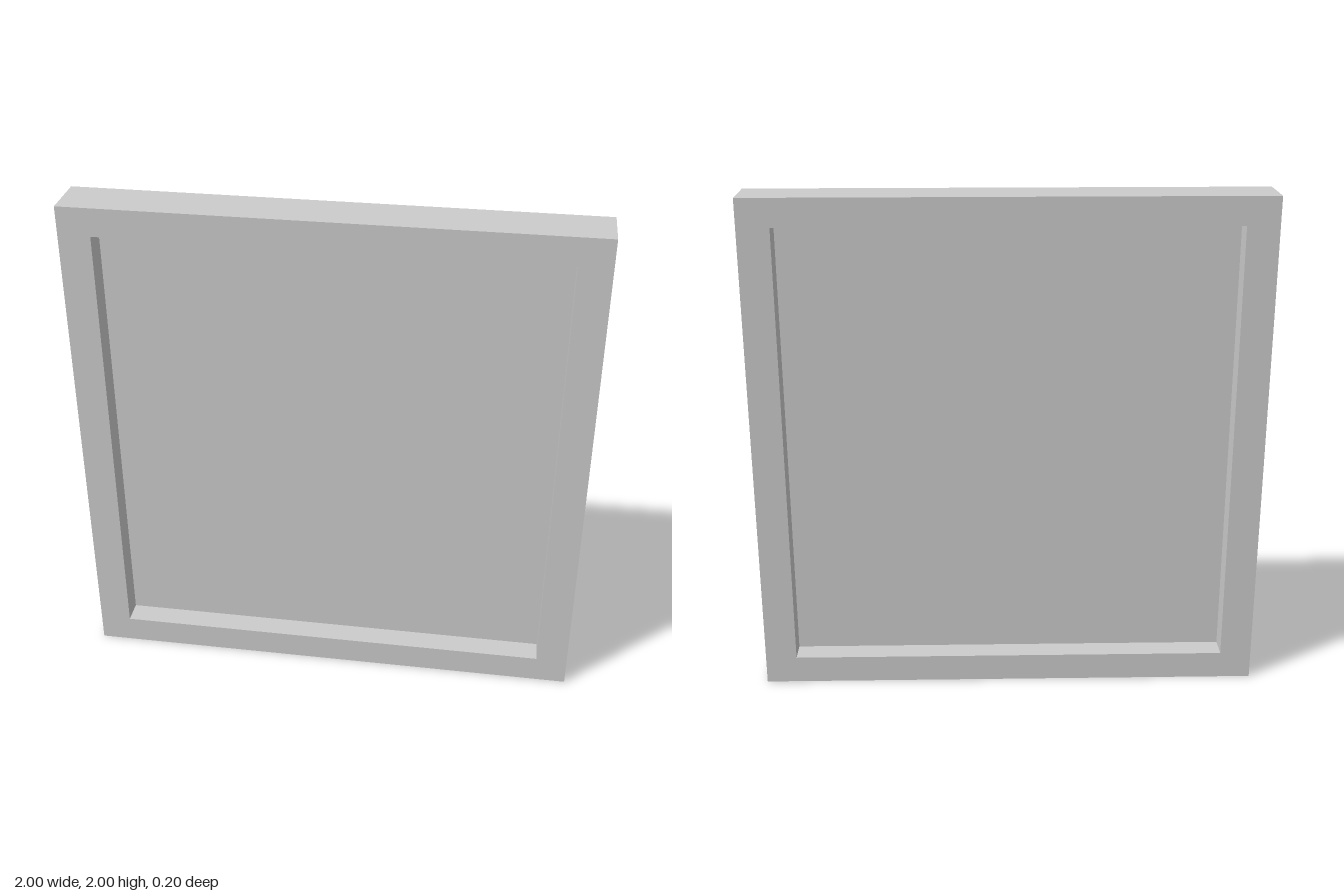
import * as THREE from 'three';

const WIDTH = 2, HEIGHT = 2, DEPTH = 0.2;
const STILE = 0.125, RAIL = 0.11; // side and top/bottom border widths
const PANE = 0.01;

// Rectangle outline centred on x = 0 and y = HEIGHT / 2
function rectangle(PathType, w, h) {
  const x = w / 2, y0 = (HEIGHT - h) / 2, y1 = (HEIGHT + h) / 2;
  return new PathType([
    new THREE.Vector2(-x, y0), new THREE.Vector2(x, y0),
    new THREE.Vector2(x, y1), new THREE.Vector2(-x, y1),
  ]);
}

export function createModel() {
  const group = new THREE.Group();
  group.name = 'framedPanel';
  const material = new THREE.MeshStandardMaterial({ color: 0xcccccc });
  const innerW = WIDTH - 2 * STILE, innerH = HEIGHT - 2 * RAIL;

  // Square frame with a rectangular opening
  const outline = rectangle(THREE.Shape, WIDTH, HEIGHT);
  outline.holes.push(rectangle(THREE.Path, innerW, innerH));
  const frameGeometry = new THREE.ExtrudeGeometry(outline, { depth: DEPTH, bevelEnabled: false });
  frameGeometry.translate(0, 0, -DEPTH / 2);
  const frame = new THREE.Mesh(frameGeometry, material);
  frame.name = 'frame';

  // Thin pane set midway through the frame, recessed on both sides
  const pane = new THREE.Mesh(new THREE.BoxGeometry(innerW, innerH, PANE), material);
  pane.name = 'pane';
  pane.position.y = HEIGHT / 2;

  group.add(frame, pane);
  return group;
}
